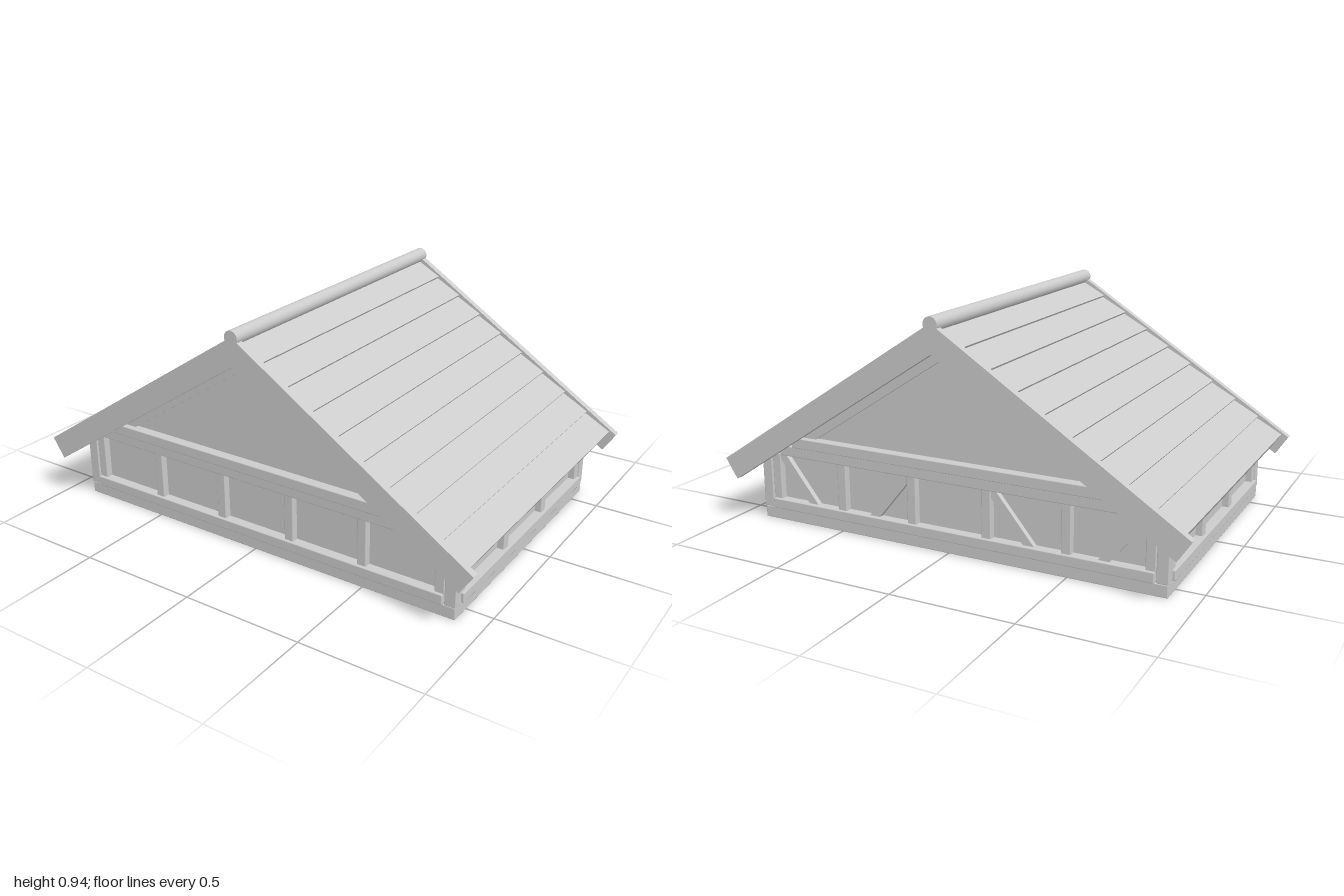
import * as THREE from 'three';
import { RoundedBoxGeometry } from 'three/addons/geometries/RoundedBoxGeometry.js';

const grey = new THREE.MeshStandardMaterial({ color: 0xcccccc });
grey.name = 'plain grey';

// Roof pitch: u runs down the slope from the apex, v is normal to it
const PITCH = Math.atan(0.65), C = Math.cos(PITCH), S = Math.sin(PITCH), APEX = 0.92;
const slope = (u, v) => [u * C + v * S, APEX - u * S + v * C];

export function createModel() {
  const model = new THREE.Group();
  model.name = 'gabledHouse';

  const add = (name, geometry, x = 0, y = 0, z = 0) => {
    const mesh = new THREE.Mesh(geometry, grey);
    mesh.name = name;
    mesh.position.set(x, y, z);
    model.add(mesh);
    return mesh;
  };
  // Timber with slightly eased edges, given by its extents
  const timber = (name, x0, x1, y0, y1, z0, z1) =>
    add(name, new RoundedBoxGeometry(x1 - x0, y1 - y0, z1 - z0, 1, 0.004),
      (x0 + x1) / 2, (y0 + y1) / 2, (z0 + z1) / 2);
  // Extrude a half profile mirrored about x = 0, from z0 to z1
  const mirrored = (name, half, z0, z1) => {
    const other = half.filter(p => p[0] > 1e-6).map(([x, y]) => [-x, y]).reverse();
    const shape = new THREE.Shape([...half, ...other].map(p => new THREE.Vector2(...p)));
    const geometry = new THREE.ExtrudeGeometry(shape, { depth: z1 - z0, bevelEnabled: false });
    return add(name, geometry, 0, 0, z0);
  };

  // Base plate and wall body with its gables
  timber('basePlate', -0.89, 0.89, 0, 0.05, -0.59, 0.59);
  mirrored('wallBody', [[0, 0.83], [0.86, 0.272], [0.86, 0.04], [0, 0.04]], -0.56, 0.56);

  // Front and back framing
  for (const s of [1, -1]) {
    const face = (name, x0, x1, y0, y1, depth) =>
      timber(name, x0, x1, y0, y1, Math.min(s * 0.545, s * depth), Math.max(s * 0.545, s * depth));
    face('gableSill', -0.84, 0.84, 0.05, 0.092, 0.6);
    face('lowerTieBeam', -0.8, 0.8, 0.283, 0.326, 0.59);
    face('upperTieBeam', -0.73, 0.73, 0.326, 0.37, 0.6);
    for (const x of [-0.822, -0.495, -0.165, 0.165, 0.495, 0.822])
      face('gableStud', x - 0.02, x + 0.02, 0.088, 0.288, 0.588);
    // Rafter trim under the roof
    const z0 = s > 0 ? 0.55 : -0.575;
    mirrored('gableRafter', [[0, 0.83], [0.72, 0.363], [0.625, 0.369], [0, 0.775]], z0, z0 + 0.025);
  }

  // Side framing
  for (const s of [1, -1]) {
    const face = (name, z0, z1, y0, y1, depth) =>
      timber(name, Math.min(s * 0.845, s * depth), Math.max(s * 0.845, s * depth), y0, y1, z0, z1);
    face('sideSill', -0.545, 0.545, 0.05, 0.092, 0.9);
    for (const z of [-0.527, -0.175, 0.175, 0.527])
      face('sideStud', z - 0.02, z + 0.02, 0.088, 0.285, 0.888);
    for (const z of [-1, 1])
      face('cornerPost', z * 0.57 - 0.022, z * 0.57 + 0.022, 0.05, 0.288, 0.892);
  }

  // Diagonal braces on the back wall: top and bottom x
  for (const s of [1, -1])
    for (const [top, bottom] of [[0.8, 0.64], [0.18, 0.345]]) {
      const dx = (top - bottom) * s, dy = 0.2;
      const brace = add('backBrace', new THREE.BoxGeometry(0.035, Math.hypot(dx, dy) + 0.02, 0.03),
        s * (top + bottom) / 2, 0.188, -0.567);
      brace.rotation.z = -Math.atan2(dx, dy);
    }

  // Roof with nine lapped boards on each slope
  const roof = [[0, 0.898]];
  const pitch = (1.162 - 0.014) / 9;
  for (let i = 0; i < 9; i++) {
    const u = 0.014 + i * pitch;
    roof.push(slope(u, -0.0185), slope(u + pitch, -0.0085));
  }
  roof.push(slope(1.162, -0.08), [0, APEX - 0.08 / C]);
  mirrored('lappedRoof', roof, -0.662, 0.662);

  // Bargeboards at both gable ends
  const barge = [[0, APEX], slope(1.193, 0), slope(1.193, -0.097), [0, APEX - 0.097 / C]];
  mirrored('frontBargeboard', barge, 0.66, 0.69);
  mirrored('backBargeboard', barge, -0.69, -0.66);

  // Ridge pole
  add('ridgePole', new THREE.CylinderGeometry(0.03, 0.03, 1.382, 16), 0, 0.915, 0).rotation.x = Math.PI / 2;

  return model;
}
